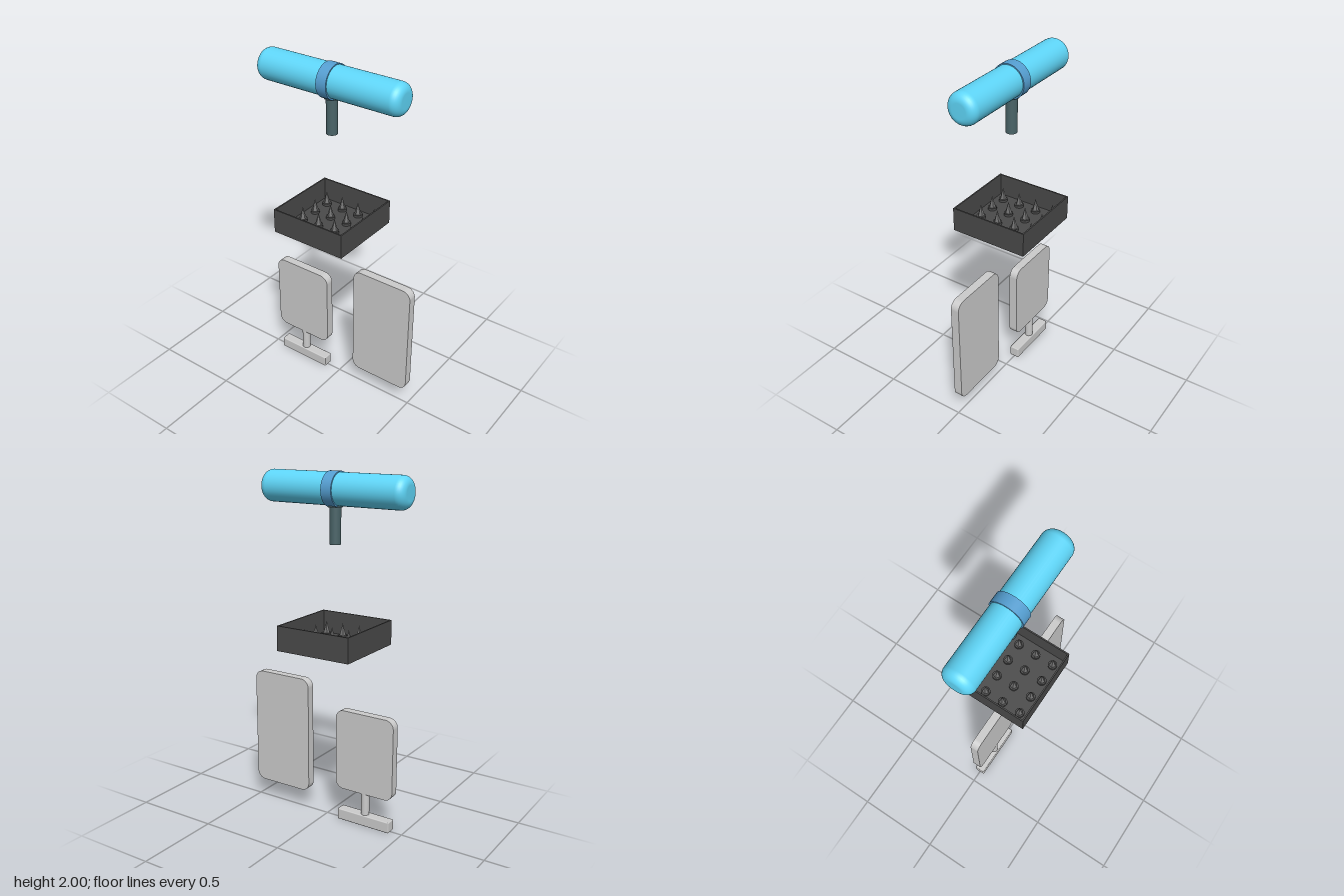
import * as THREE from 'three';
import { RoundedBoxGeometry } from 'three/addons/geometries/RoundedBoxGeometry.js';

const mat = (color, flatShading = false) => new THREE.MeshStandardMaterial({ color, flatShading });

function add(parent, name, geometry, material, x = 0, y = 0, z = 0) {
  const mesh = new THREE.Mesh(geometry, material);
  mesh.name = name;
  mesh.position.set(x, y, z);
  parent.add(mesh);
  return mesh;
}

// Upright slab with rounded corners, centred on its own origin
function slab(w, h, depth, r) {
  const x = w / 2, y = h / 2;
  const s = new THREE.Shape();
  s.moveTo(-x + r, -y);
  s.lineTo(x - r, -y);
  s.absarc(x - r, -y + r, r, -Math.PI / 2, 0);
  s.absarc(x - r, y - r, r, 0, Math.PI / 2);
  s.absarc(-x + r, y - r, r, Math.PI / 2, Math.PI);
  s.absarc(-x + r, -y + r, r, Math.PI, Math.PI * 1.5);
  const g = new THREE.ExtrudeGeometry(s, { depth, bevelEnabled: false, curveSegments: 8 });
  return g.translate(0, 0, -depth / 2);
}

export function createModel() {
  const model = new THREE.Group();
  const grey = mat(0xcccccc);
  const cyan = mat(0x5fd6f8);
  const blue = mat(0x559fd2);
  const slate = mat(0x4a6468);
  const dark = mat(0x4a4a4a);
  const spikeGrey = mat(0x707070, true);

  // Mallet: rounded head lying along x, centre band and short handle
  const mallet = new THREE.Group();
  mallet.name = 'mallet';
  model.add(mallet);
  const half = 0.45, radius = 0.089, round = 0.048;
  const profile = [new THREE.Vector2(0, -half)];
  for (const end of [-1, 1]) {
    for (let i = 0; i <= 8; i++) {
      const a = (end < 0 ? i - 8 : i) / 8 * Math.PI / 2;
      profile.push(new THREE.Vector2(
        radius - round + round * Math.cos(a),
        end * (half - round) + round * Math.sin(a)));
    }
  }
  profile.push(new THREE.Vector2(0, half));
  add(mallet, 'malletHead', new THREE.LatheGeometry(profile, 40), cyan, -0.05, 1.905).rotation.z = Math.PI / 2;
  add(mallet, 'malletBand', new THREE.CylinderGeometry(0.096, 0.096, 0.064, 40), blue, -0.05, 1.904).rotation.z = Math.PI / 2;
  add(mallet, 'malletHandle', new THREE.CylinderGeometry(0.032, 0.032, 0.22, 24), slate, -0.05, 1.72);
  add(mallet, 'handleCollar', new THREE.CylinderGeometry(0.042, 0.042, 0.02, 24), slate, -0.05, 1.82);

  // Open tray with thin walls
  const tray = new THREE.Group();
  tray.name = 'spikeTray';
  tray.position.set(-0.05, 1.03, 0);
  model.add(tray);
  const size = 0.46, wall = 0.008, height = 0.143;
  add(tray, 'trayFloor', new THREE.BoxGeometry(size, 0.012, size), dark, 0, 0.006);
  for (const s of [-1, 1]) {
    add(tray, 'trayWall', new THREE.BoxGeometry(wall, height, size), dark, s * (size - wall) / 2, height / 2);
    add(tray, 'trayWall', new THREE.BoxGeometry(size - 2 * wall, height, wall), dark, 0, height / 2, s * (size - wall) / 2);
  }

  // Four by four spikes, each on a round stud passing through the floor
  const stud = new THREE.CylinderGeometry(0.026, 0.026, 0.036, 16);
  const spike = new THREE.ConeGeometry(0.02, 0.074, 5);
  for (let i = 0; i < 4; i++) {
    for (let j = 0; j < 4; j++) {
      const x = (i - 1.5) * 0.111, z = (j - 1.5) * 0.112;
      add(tray, 'spikeStud', stud, dark, x, 0.009, z);
      add(tray, 'spike', spike, spikeGrey, x, 0.062, z);
    }
  }

  // Small panel on a post and foot
  const stand = new THREE.Group();
  stand.name = 'panelStand';
  stand.position.x = -0.26;
  model.add(stand);
  add(stand, 'standPanel', slab(0.372, 0.48, 0.05, 0.05), grey, 0, 0.438);
  add(stand, 'standPost', new THREE.CylinderGeometry(0.024, 0.024, 0.15, 24), grey, 0, 0.13);
  add(stand, 'standFoot', new RoundedBoxGeometry(0.34, 0.066, 0.06, 2, 0.006), grey, 0, 0.033);

  // Tall free panel
  add(model, 'tallPanel', slab(0.378, 0.698, 0.05, 0.05), grey, 0.306, 0.465);

  return model;
}
